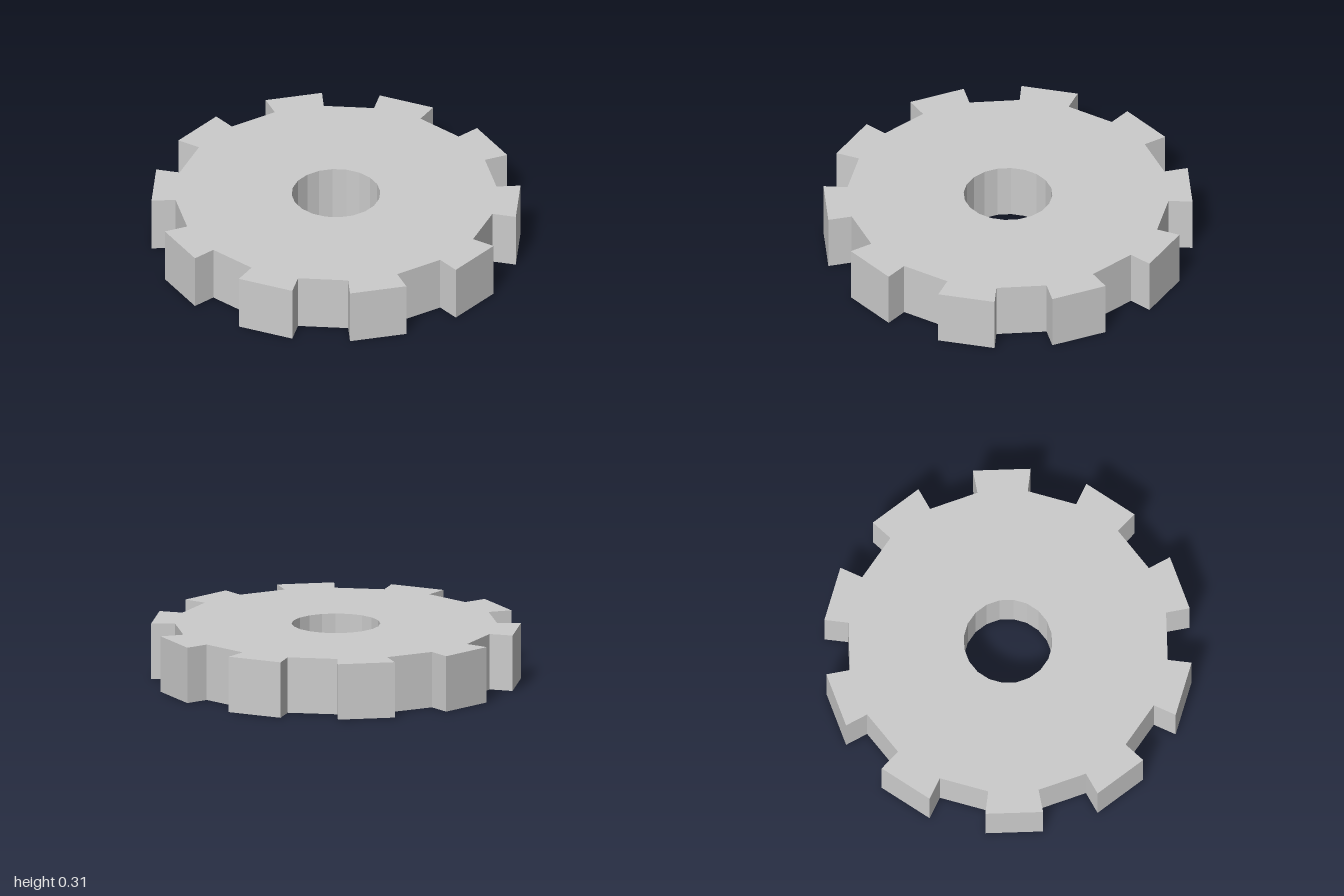
import * as THREE from 'three';

const TEETH = 10, TIP = 1, ROOT = 0.87, BORE = 0.24, HEIGHT = 0.307, BORE_SIDES = 20;

// Point at a clockwise angle, starting from the back of the wheel
const polar = (r, a) => new THREE.Vector2(r * Math.sin(a), r * Math.cos(a));

export function createModel() {
  const group = new THREE.Group();
  group.name = 'toothedWheel';

  // Outline: each pitch is half tooth, half gap, with straight chords
  const half = Math.PI / TEETH;
  const outline = [];
  for (let i = 0; i < TEETH; i++) {
    const start = 2 * i * half, end = start + half;
    outline.push(polar(ROOT, start), polar(TIP, start), polar(TIP, end), polar(ROOT, end));
  }
  const shape = new THREE.Shape(outline);

  // Central bore, wound against the outline so its wall faces the axis
  const bore = [];
  for (let i = 0; i < BORE_SIDES; i++) bore.push(polar(BORE, (-i / BORE_SIDES) * Math.PI * 2));
  shape.holes.push(new THREE.Path(bore));

  // Lay the extrusion flat, standing on y = 0
  const geometry = new THREE.ExtrudeGeometry(shape, { depth: HEIGHT, bevelEnabled: false, steps: 1 });
  geometry.rotateX(-Math.PI / 2);

  const wheel = new THREE.Mesh(
    geometry,
    new THREE.MeshStandardMaterial({ color: 0xcccccc, flatShading: true })
  );
  wheel.name = 'gearWheel';
  group.add(wheel);
  return group;
}
